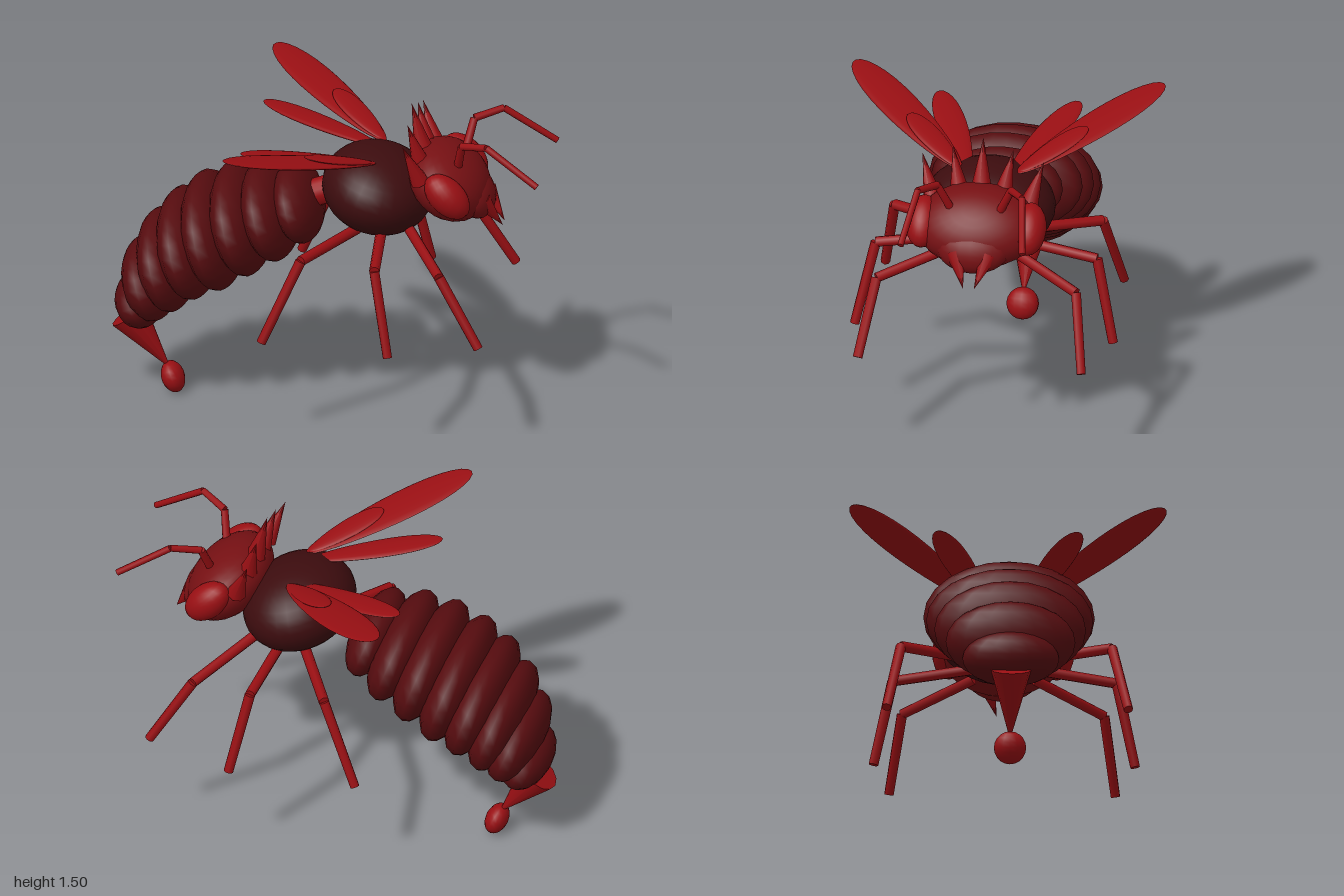
import * as THREE from 'three';

const V = (x, y, z) => new THREE.Vector3(x, y, z);
const UP = V(0, 1, 0);

export function createModel() {
  const model = new THREE.Group();
  model.name = 'hornet';

  const mat = (name, color) => {
    const m = new THREE.MeshStandardMaterial({ color });
    m.name = name;
    return m;
  };
  const red = mat('bright red', 0x990f13);
  const headRed = mat('head red', 0x761013);
  const maroon = mat('abdomen maroon', 0x560c0f);
  const dark = mat('thorax dark maroon', 0x3c0c0e);

  const add = (name, geometry, material, parent = model) => {
    const mesh = new THREE.Mesh(geometry, material);
    mesh.name = name;
    parent.add(mesh);
    return mesh;
  };

  // Ellipsoid tilted in the side plane
  const ellipsoid = (name, material, c, r, tilt = 0, seg = 20, rings = 14) => {
    const m = add(name, new THREE.SphereGeometry(1, seg, rings), material);
    m.position.set(...c);
    m.scale.set(...r);
    m.rotation.z = THREE.MathUtils.degToRad(tilt);
    return m;
  };

  // Tapered rod from a to b
  const rod = (name, material, a, b, ra, rb, sides = 8, parent = model) => {
    const d = b.clone().sub(a);
    const geo = rb === 0
      ? new THREE.ConeGeometry(ra, d.length(), sides)
      : new THREE.CylinderGeometry(rb, ra, d.length(), sides);
    const m = add(name, geo, material, parent);
    m.position.copy(a).add(b).multiplyScalar(0.5);
    m.quaternion.setFromUnitVectors(UP, d.normalize());
    return m;
  };

  // Jointed limb through a list of points
  const limb = (name, pts, radii) => {
    const g = new THREE.Group();
    g.name = name;
    for (let i = 0; i < pts.length - 1; i++) {
      rod(name + 'Segment', red, pts[i], pts[i + 1], radii[i], radii[i + 1], 8, g);
    }
    model.add(g);
  };

  // Flat lens-shaped blade from root to tip, narrower at the root
  const blade = (name, root, tip, width, thick) => {
    const geo = new THREE.SphereGeometry(1, 16, 16);
    const p = geo.attributes.position;
    for (let i = 0; i < p.count; i++) {
      const k = 0.86 + 0.2 * p.getY(i);
      p.setX(i, p.getX(i) * k);
    }
    const dir = tip.clone().sub(root);
    const len = dir.length();
    dir.normalize();
    const side = UP.clone().cross(dir).normalize();
    const normal = side.clone().cross(dir);
    geo.scale(width / 2, len / 2, thick / 2);
    geo.computeVertexNormals();
    const m = add(name, geo, red);
    m.quaternion.setFromRotationMatrix(new THREE.Matrix4().makeBasis(side, dir, normal));
    m.position.copy(root).add(tip).multiplyScalar(0.5);
  };

  // Abdomen rings: x, y, half thickness, half height, half width, tilt
  [
    [-0.155, 0.98, 0.105, 0.18, 0.28, 19],
    [-0.285, 0.935, 0.115, 0.225, 0.35, 18],
    [-0.42, 0.88, 0.12, 0.25, 0.38, 17],
    [-0.55, 0.81, 0.12, 0.26, 0.39, 17],
    [-0.665, 0.74, 0.12, 0.242, 0.38, 17],
    [-0.765, 0.65, 0.115, 0.225, 0.345, 17],
    [-0.84, 0.555, 0.115, 0.185, 0.295, 20],
    [-0.885, 0.45, 0.11, 0.125, 0.22, 30],
  ].forEach(([x, y, t, h, w, tilt], i) =>
    ellipsoid('abdomenRing' + (i + 1), maroon, [x, y, 0], [t, h, w], tilt, 16, 12));

  // Stinger and the drop at its tip
  rod('stinger', red, V(-0.94, 0.37, 0), V(-0.745, 0.11, 0), 0.092, 0, 12);
  ellipsoid('stingerDrop', red, [-0.735, 0.074, 0], [0.052, 0.075, 0.075], 22, 14, 10);

  // Waist, thorax and head
  rod('waist', red, V(-0.13, 1.01, 0), V(0.03, 1.07, 0), 0.065, 0.065, 14);
  ellipsoid('thorax', dark, [0.21, 1.075, 0], [0.257, 0.197, 0.305], -15, 28, 18);
  ellipsoid('head', headRed, [0.54, 1.14, 0], [0.205, 0.15, 0.285], -38, 24, 16);
  ellipsoid('muzzle', headRed, [0.655, 1.085, 0], [0.085, 0.12, 0.17], 32);

  // Crown of spikes at the back of the head
  const spike = (base, tip, r) => rod('headSpike', red, base, tip, r, 0, 8);
  spike(V(0.425, 1.26, 0), V(0.365, 1.5, 0), 0.05);

  for (const s of [1, -1]) {
    const P = (x, y, z) => V(x, y, z * s);
    const side = s > 0 ? 'left' : 'right';

    spike(P(0.425, 1.25, 0.1), P(0.37, 1.45, 0.14), 0.045);
    spike(P(0.44, 1.21, 0.22), P(0.37, 1.4, 0.28), 0.045);

    ellipsoid(side + 'Eye', red, [0.57, 1.155, 0.245 * s], [0.125, 0.08, 0.078], -45);
    rod(side + 'Mandible', red, P(0.7, 1.075, 0.075), P(0.79, 0.94, 0.025), 0.045, 0, 8);

    limb(side + 'Antenna',
      [P(0.595, 1.24, 0.11), P(0.625, 1.375, 0.17), P(0.75, 1.405, 0.24), P(0.99, 1.245, 0.28)],
      [0.02, 0.018, 0.016, 0.015]);

    limb(side + 'FrontLeg',
      [P(0.38, 0.935, 0.14), P(0.57, 0.845, 0.46), P(0.76, 0.53, 0.515)], [0.025, 0.024, 0.022]);
    limb(side + 'MiddleLeg',
      [P(0.25, 0.925, 0.14), P(0.28, 0.875, 0.51), P(0.355, 0.49, 0.595)], [0.025, 0.024, 0.022]);
    limb(side + 'RearLeg',
      [P(0.14, 0.925, 0.14), P(-0.065, 0.89, 0.48), P(-0.235, 0.505, 0.55)], [0.025, 0.024, 0.022]);

    // Wings: large front wing, small hind wing and a short cover blade
    blade(side + 'FrontWing', P(0.22, 1.25, 0.13), P(-0.38, 1.45, 0.71), 0.23, 0.03);
    blade(side + 'HindWing', P(0.2, 1.235, 0.1), P(-0.37, 1.33, 0.32), 0.16, 0.028);
    blade(side + 'WingCover', P(0.21, 1.255, 0.14), P(-0.055, 1.37, 0.41), 0.14, 0.026);
  }

  return model;
}
